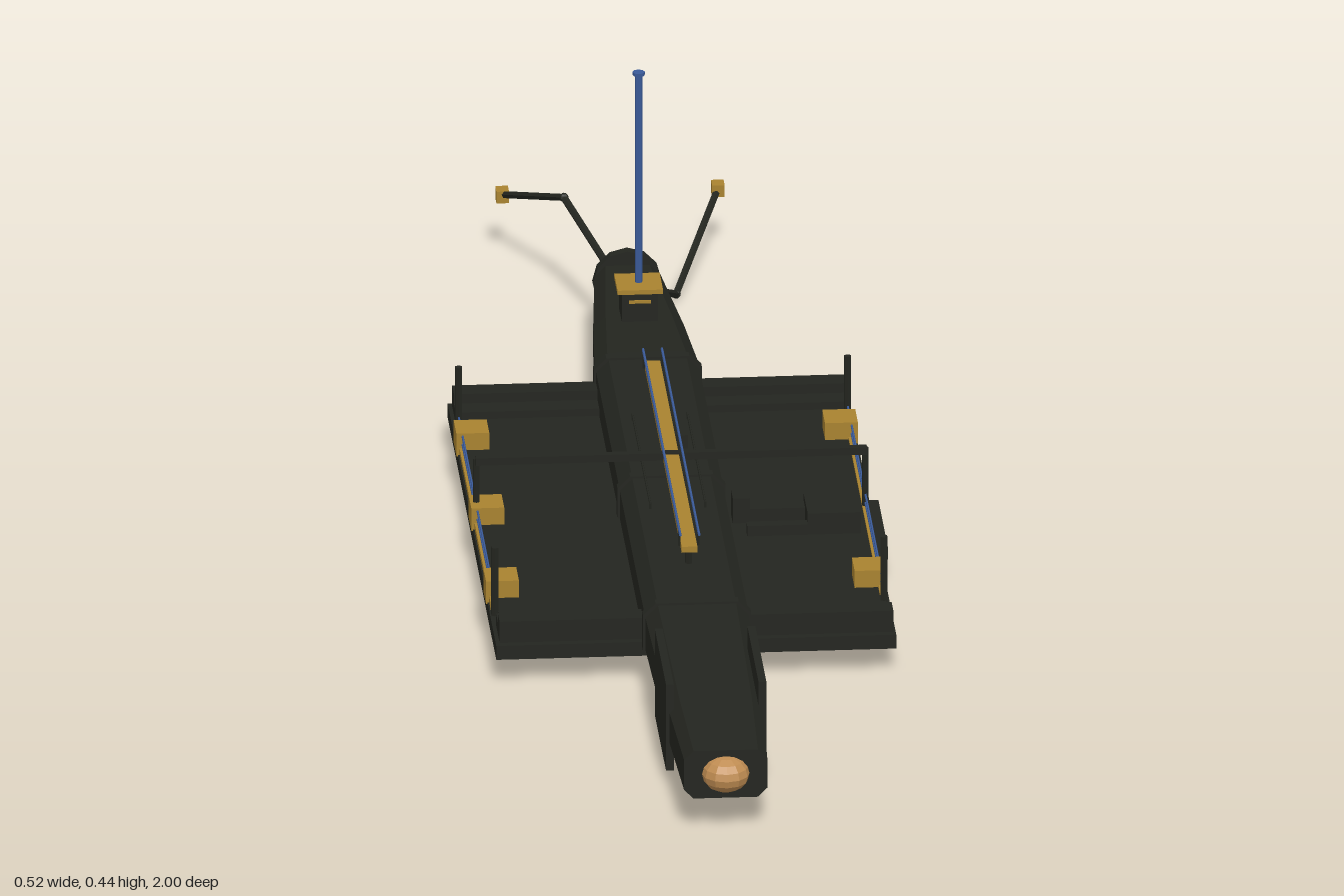
import * as THREE from 'three';

const CX = -0.006; // hull centre line
const mat = (color, side = THREE.FrontSide) =>
  new THREE.MeshStandardMaterial({ color, flatShading: true, side });

export function createModel() {
  const model = new THREE.Group();
  const dark = mat(0x23251f), gold = mat(0xa8822f), copper = mat(0xbf8c52), blue = mat(0x3a5a98);

  function add(name, geometry, material, x = 0, y = 0, z = 0) {
    const mesh = new THREE.Mesh(geometry, material);
    mesh.name = name;
    mesh.position.set(x, y, z);
    model.add(mesh);
    return mesh;
  }
  // box given by its lower and upper limits on each axis
  const box = (name, m, x0, x1, y0, y1, z0, z1) =>
    add(name, new THREE.BoxGeometry(x1 - x0, y1 - y0, z1 - z0), m,
      (x0 + x1) / 2, (y0 + y1) / 2, (z0 + z1) / 2);

  // round bar between two points
  function rod(name, m, a, b, r, sides = 6) {
    const p = new THREE.Vector3(...a), q = new THREE.Vector3(...b);
    const d = q.clone().sub(p);
    const mesh = add(name, new THREE.CylinderGeometry(r, r, d.length(), sides), m);
    mesh.position.copy(p).add(q).multiplyScalar(0.5);
    mesh.quaternion.setFromUnitVectors(new THREE.Vector3(0, 1, 0), d.normalize());
    return mesh;
  }

  // chamfered rectangular sections [z, halfWidth, bottom, top, chamfer], front to back
  function loft(sections) {
    const pos = [], index = [];
    for (const [z, w, b, t, c] of sections) {
      const ring = [[-w + c, b], [w - c, b], [w, b + c], [w, t - c],
        [w - c, t], [-w + c, t], [-w, t - c], [-w, b + c]];
      for (const [x, y] of ring) pos.push(CX + x, y, z);
    }
    const last = (sections.length - 1) * 8;
    for (let i = 0; i < last; i += 8)
      for (let j = 0; j < 8; j++) {
        const k = (j + 1) % 8;
        index.push(i + j, i + 8 + j, i + 8 + k, i + j, i + 8 + k, i + k);
      }
    for (let j = 1; j < 7; j++)
      index.push(0, j, j + 1, last, last + j + 1, last + j);
    const g = new THREE.BufferGeometry();
    g.setAttribute('position', new THREE.Float32BufferAttribute(pos, 3));
    g.setIndex(index);
    const flat = g.toNonIndexed();
    flat.computeVertexNormals();
    return flat;
  }

  // long tapering hull
  add('hull', loft([
    [0.97, 0.053, 0.043, 0.108, 0.012],
    [0.80, 0.06, 0.041, 0.11, 0.014],
    [0.48, 0.066, 0.036, 0.112, 0.016],
    [-0.37, 0.066, 0.036, 0.112, 0.016],
    [-0.50, 0.058, 0.042, 0.109, 0.016],
    [-0.69, 0.042, 0.052, 0.101, 0.014],
  ]), dark);
  for (const z of [0.48, 0.05, -0.35])
    add('hullBand', loft([[z + 0.007, 0.069, 0.034, 0.115, 0.016], [z - 0.007, 0.069, 0.034, 0.115, 0.016]]), dark);
  const collar = add('tailCollar', new THREE.CylinderGeometry(0.044, 0.044, 0.014, 12), dark, CX, 0.076, -0.695);
  collar.rotation.x = Math.PI / 2;

  // rounded nose window
  const nose = add('noseDome', new THREE.SphereGeometry(1, 12, 8), copper, CX, 0.076, 0.967);
  nose.scale.set(0.031, 0.024, 0.033);

  // wide deck with stepped end rims
  box('deckPlate', dark, -0.26, 0.25, 0.033, 0.052, -0.36, 0.46);
  box('deckFloor', dark, -0.25, 0.245, 0.05, 0.058, -0.35, 0.45);
  for (const s of [-1, 1]) {
    const rim = (h, a, b) => box('deckEndRim', dark, -0.255, 0.247, 0.05, h,
      0.05 + Math.min(s * a, s * b), 0.05 + Math.max(s * a, s * b));
    rim(0.081, 0.37, 0.40);
    rim(0.068, 0.34, 0.37);
  }
  const port = add('bottomPort', new THREE.CylinderGeometry(0.013, 0.013, 0.004, 12), dark, CX, 0.032, 0.05);
  port.name = 'bottomPort';

  // edge fittings on both sides
  for (const s of [-1, 1]) {
    const x = CX + s * 0.235, edge = CX + s * 0.248;
    for (const z of [-0.21, 0.29]) {
      box('edgeBlock', gold, x - 0.021, x + 0.021, 0.05, 0.081, z - 0.023, z + 0.023);
      box('edgeClamp', gold, edge - 0.005, edge + 0.007, 0.04, 0.076, z - 0.015, z + 0.015);
    }
    box('edgeStrip', gold, edge - 0.004, edge + 0.004, 0.053, 0.061, -0.26, 0.34);
    for (const z of [-0.255, 0.355])
      rod('edgePost', dark, [edge, 0.052, z], [edge, 0.145, z], 0.005);
    for (const y of [0.066, 0.077])
      rod('edgeWire', blue, [edge, y, -0.255], [edge, y, 0.355], 0.0015, 5);
    rod('archPost', dark, [edge, 0.055, 0.043], [edge, 0.14, 0.043], 0.0045);
  }
  box('middleEdgeBlock', gold, -0.262, -0.22, 0.05, 0.081, 0.02, 0.066);

  // arch crossing the deck
  box('archBar', dark, -0.255, 0.244, 0.132, 0.142, 0.038, 0.048);

  // gold rail and wires above the hull
  box('topRail', gold, CX - 0.01, CX + 0.01, 0.132, 0.14, -0.27, 0.36);
  for (const z of [-0.255, 0.045, 0.345])
    rod('railPost', dark, [CX, 0.105, z], [CX, 0.134, z], 0.005);
  for (const s of [-1, 1]) {
    const x = CX + s * 0.012;
    rod('topWire', blue, [x, 0.158, -0.265], [x, 0.158, 0.365], 0.0018, 5);
    for (const z of [-0.255, 0.345])
      rod('wireStay', dark, [x, 0.136, z], [x, 0.158, z], 0.0015, 5);
  }
  for (const [z0, z1, y] of [[-0.14, 0.16, 0.12]])
    for (const s of [-1, 1]) {
      const x = CX + s * 0.035;
      rod('hullHandrail', dark, [x, y, z0], [x, y, z1], 0.0015, 5);
      for (const z of [z0, 0, z1])
        rod('handrailStay', dark, [x, 0.11, z], [x, y, z], 0.0015, 5);
    }
  box('hullFitting', dark, 0.005, 0.022, 0.11, 0.13, -0.07, -0.04);

  // equipment on the left half of the deck
  box('equipmentBox', dark, 0.162, 0.23, 0.055, 0.087, 0.06, 0.13);
  box('equipmentArm', dark, 0.07, 0.165, 0.06, 0.077, 0.06, 0.085);
  box('equipmentBeam', dark, 0.085, 0.165, 0.056, 0.072, 0.115, 0.13);
  box('armPivot', dark, 0.07, 0.092, 0.055, 0.092, 0.055, 0.085);
  box('sidePanel', dark, 0.248, 0.262, 0.033, 0.05, 0.0, 0.16);

  // vertical side fins near the nose
  for (const s of [-1, 1]) {
    const x = CX + s * 0.059;
    box('sideFin', dark, x - 0.005, x + 0.005, 0.017, 0.135, 0.62, 0.81);
  }

  // mast on its pedestal
  box('mastPedestal', dark, CX - 0.023, CX + 0.023, 0.1, 0.15, -0.523, -0.477);
  box('pedestalBand', gold, CX - 0.014, CX + 0.014, 0.135, 0.139, -0.525, -0.475);
  box('pedestalTop', gold, CX - 0.029, CX + 0.029, 0.149, 0.155, -0.529, -0.471);
  rod('mast', blue, [CX, 0.15, -0.5], [CX, 0.442, -0.5], 0.0048, 8);
  rod('mastCap', blue, [CX, 0.439, -0.5], [CX, 0.443, -0.5], 0.008, 8);

  // bent tail feelers with gold tips
  const feelers = [
    [[-0.025, 0.09, -0.69], [-0.077, 0.143, -0.82], [-0.143, 0.08, -0.99]],
    [[0.018, 0.066, -0.69], [0.066, 0.006, -0.82], [0.132, 0.08, -0.99]],
  ];
  for (const [a, b, c] of feelers) {
    rod('feelerInner', dark, a, b, 0.005);
    rod('feelerOuter', dark, b, c, 0.005);
    add('feelerJoint', new THREE.SphereGeometry(0.006, 8, 6), dark, ...b);
    add('feelerTip', new THREE.BoxGeometry(0.016, 0.016, 0.02), gold, ...c);
  }
  return model;
}
